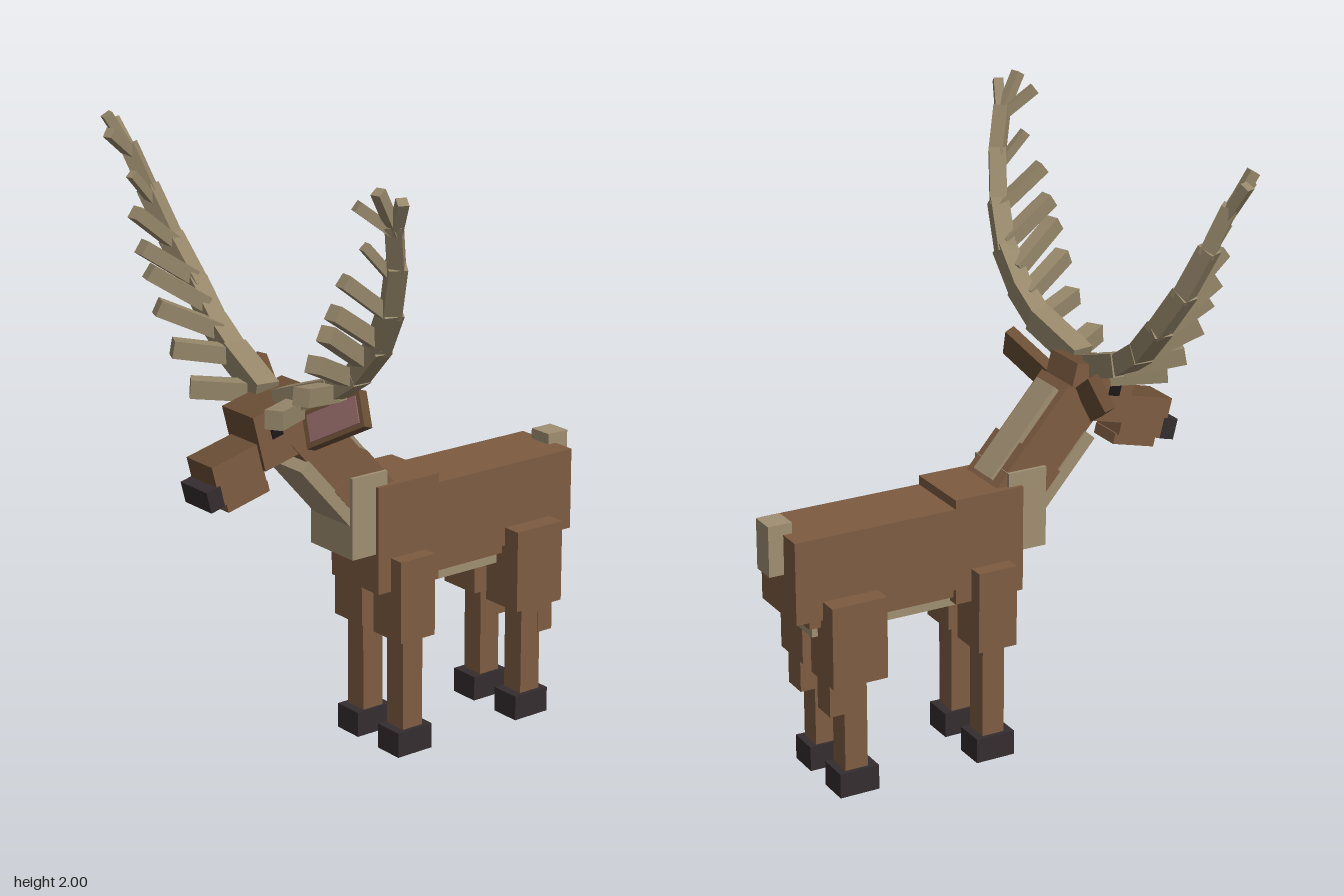
import * as THREE from 'three';

const material = (name, color) => {
  const m = new THREE.MeshStandardMaterial({ color });
  m.name = name;
  return m;
};

export function createModel() {
  const coat = material('brown coat', 0x7d5c41);
  const dark = material('dark brown coat', 0x6b4e35);
  const pale = material('pale fur', 0xa08e72);
  const horn = material('antler', 0x96876a);
  const hoofMat = material('hoof and nose', 0x352d2f);
  const pink = material('inner ear', 0x936868);
  const black = material('eye', 0x1c181a);

  const model = new THREE.Group();
  model.name = 'stag';

  const group = (name, parent = model) => {
    const g = new THREE.Group();
    g.name = name;
    parent.add(g);
    return g;
  };

  // Box given by its extents on each axis
  const box = (parent, name, mat, [x0, x1], [y0, y1], [z0, z1]) => {
    const mesh = new THREE.Mesh(new THREE.BoxGeometry(Math.abs(x1 - x0), y1 - y0, z1 - z0), mat);
    mesh.position.set((x0 + x1) / 2, (y0 + y1) / 2, (z0 + z1) / 2);
    mesh.name = name;
    parent.add(mesh);
    return mesh;
  };

  // Square bar running from one point to another
  const bar = (parent, name, from, to, thick, overlap = 0) => {
    const a = new THREE.Vector3(...from), b = new THREE.Vector3(...to);
    const mesh = new THREE.Mesh(new THREE.BoxGeometry(thick, thick, a.distanceTo(b) + overlap), horn);
    mesh.position.copy(a).add(b).multiplyScalar(0.5);
    mesh.lookAt(b);
    mesh.name = name;
    parent.add(mesh);
  };

  // Trunk
  const body = group('body');
  box(body, 'shoulders', coat, [-0.12, 0.12], [0.55, 0.9], [-0.12, 0.12]);
  box(body, 'barrel', coat, [-0.12, 0.12], [0.6, 0.87], [-0.67, -0.12]);
  box(body, 'underside', coat, [-0.105, 0.105], [0.57, 0.6], [-0.62, -0.12]);
  box(body, 'belly', pale, [-0.08, 0.08], [0.53, 0.58], [-0.6, -0.1]);
  box(body, 'chestRuff', pale, [-0.107, 0.107], [0.68, 0.945], [0.075, 0.21]);
  box(body, 'tail', pale, [-0.042, 0.042], [0.74, 0.905], [-0.72, -0.64]);

  // Neck, leaning forward
  const neck = group('neck');
  neck.rotation.x = 0.714;
  box(neck, 'lowerNeck', coat, [-0.095, 0.095], [0.66, 0.865], [-0.56, -0.395]);
  box(neck, 'upperNeck', coat, [-0.085, 0.085], [0.86, 1.1], [-0.55, -0.395]);
  box(neck, 'throat', pale, [-0.093, 0.093], [0.73, 1.014], [-0.4, -0.357]);
  box(neck, 'mane', pale, [-0.055, 0.055], [0.72, 1.068], [-0.57, -0.54]);

  // Head, nose tipped down; crown and face are darker than the cheeks
  const head = group('head');
  head.rotation.x = 0.2424;
  const faceMats = [coat, coat, dark, coat, dark, coat];
  box(head, 'skull', faceMats, [-0.08, 0.08], [1.118, 1.298], [0.025, 0.254]);
  box(head, 'muzzle', faceMats, [-0.066, 0.066], [1.072, 1.206], [0.25, 0.422]);
  box(head, 'jaw', coat, [-0.058, 0.058], [1.04, 1.075], [0.242, 0.398]);
  box(head, 'nose', hoofMat, [-0.068, 0.068], [1.071, 1.14], [0.41, 0.461]);

  // Antler beam joints, and tines as [base, tip, thickness]
  const beam = [
    [0.05, 1.225, 0.42], [0.25, 1.295, 0.39], [0.36, 1.365, 0.385], [0.46, 1.47, 0.385],
    [0.55, 1.6, 0.41], [0.62, 1.75, 0.445], [0.66, 1.88, 0.485],
  ];
  const beamThick = [0.075, 0.066, 0.062, 0.06, 0.055, 0.048];
  const tines = [
    [[0.12, 1.215, 0.43], [0.215, 1.23, 0.58], 0.058],
    [[0.25, 1.29, 0.39], [0.33, 1.325, 0.565], 0.055],
    [[0.33, 1.35, 0.39], [0.4, 1.44, 0.57], 0.052],
    [[0.4, 1.42, 0.39], [0.45, 1.54, 0.565], 0.05],
    [[0.47, 1.49, 0.39], [0.485, 1.61, 0.565], 0.048],
    [[0.54, 1.59, 0.41], [0.525, 1.71, 0.56], 0.042],
    [[0.6, 1.7, 0.43], [0.585, 1.815, 0.53], 0.028],
    [[0.66, 1.86, 0.48], [0.722, 1.963, 0.505], 0.032],
    [[0.66, 1.86, 0.48], [0.678, 1.99, 0.555], 0.032],
    [[0.655, 1.86, 0.48], [0.62, 1.945, 0.585], 0.032],
  ];

  for (const s of [1, -1]) {
    const side = s > 0 ? 'left' : 'right';
    const mx = (a, b) => [s * a, s * b];
    const flip = ([x, y, z]) => [s * x, y, z];

    // Front leg
    const front = group(side + 'FrontLeg');
    box(front, 'shoulder', coat, mx(0.03, 0.17), [0.39, 0.66], [-0.065, 0.07]);
    box(front, 'shin', coat, mx(0.062, 0.143), [0.08, 0.39], [-0.037, 0.04]);
    box(front, 'hoof', hoofMat, mx(0.052, 0.157), [0, 0.083], [-0.065, 0.07]);

    // Hind leg
    const hind = group(side + 'HindLeg');
    box(hind, 'thigh', coat, mx(0.03, 0.183), [0.39, 0.66], [-0.58, -0.393]);
    box(hind, 'hock', coat, mx(0.06, 0.145), [0.28, 0.395], [-0.575, -0.515]);
    box(hind, 'shin', coat, mx(0.062, 0.143), [0.08, 0.395], [-0.525, -0.447]);
    box(hind, 'hoof', hoofMat, mx(0.052, 0.157), [0, 0.083], [-0.55, -0.415]);

    // Eye
    box(head, side + 'Eye', black, mx(0.078, 0.084), [1.205, 1.245], [0.165, 0.205]);

    // Ear, spread outward and swept back
    const along = new THREE.Vector3(s * 0.836, 0.46, -0.3).normalize();
    const face = new THREE.Vector3(s * 0.14, 0.34, 0.92);
    face.addScaledVector(along, -face.dot(along)).normalize();
    const xAxis = along.multiplyScalar(s);
    const yAxis = new THREE.Vector3().crossVectors(face, xAxis);
    const ear = group(side + 'Ear');
    ear.quaternion.setFromRotationMatrix(new THREE.Matrix4().makeBasis(xAxis, yAxis, face));
    ear.position.set(s * 0.19, 1.178, 0.335);
    box(ear, 'earShell', dark, [-0.115, 0.115], [-0.058, 0.058], [-0.022, 0.014]);
    box(ear, 'innerEar', pink, [-0.095, 0.1], [-0.043, 0.043], [0.012, 0.018]);

    // Antler
    const antler = group(side + 'Antler');
    beamThick.forEach((t, i) => bar(antler, 'beam', flip(beam[i]), flip(beam[i + 1]), t, 0.02));
    tines.forEach(([a, b, t]) => bar(antler, 'tine', flip(a), flip(b), t));
  }
  return model;
}
